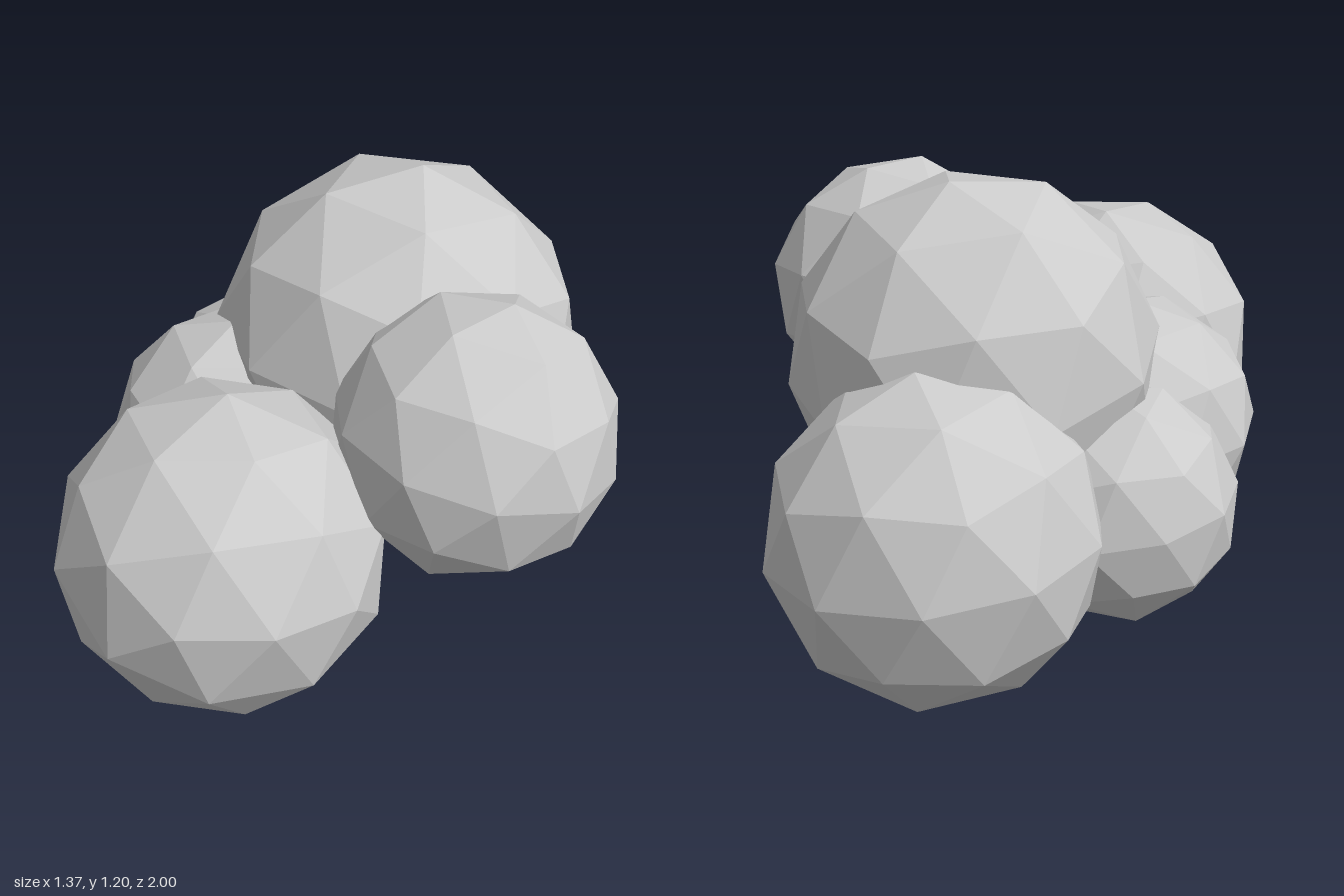
import * as THREE from 'three';

// name, centre, radius, direction of one faceted pole, spin about that pole
const LOBES = [
  ['frontLobe', [-0.24, 0.53, 0.585], 0.42, [0.04, 0.19, 0.98], 0.3],
  ['leftLobe', [0.33, 0.765, 0.3], 0.362, [0.2, 0.98, -0.2], 0.5],
  ['mainLobe', [0.04, 0.725, -0.135], 0.487, [0.1, 1, -0.15], 0.2],
  ['backLobe', [0.06, 0.425, -0.58], 0.422, [-0.1, -1, 0], 0.0],
  ['rightLobe', [-0.35, 0.49, 0.08], 0.342, [0, -1, 0.05], 0.4],
  ['rearRightLobe', [-0.35, 0.39, -0.24], 0.313, [-0.16, -1, 0], 0.8],
];

export function createModel() {
  const group = new THREE.Group();
  group.name = 'boulderCluster';
  const material = new THREE.MeshStandardMaterial({ color: 0xcccccc, flatShading: true });

  // One corner of the base icosahedron, used as the pole of each lobe
  const corner = new THREE.Vector3(0, 1, (1 + Math.sqrt(5)) / 2).normalize();

  for (const [name, centre, radius, pole, spin] of LOBES) {
    const lobe = new THREE.Mesh(new THREE.IcosahedronGeometry(radius, 1), material);
    const direction = new THREE.Vector3(...pole).normalize();
    lobe.name = name;
    lobe.position.set(...centre);
    lobe.quaternion.setFromUnitVectors(corner, direction);
    lobe.rotateOnWorldAxis(direction, spin);
    group.add(lobe);
  }
  return group;
}
